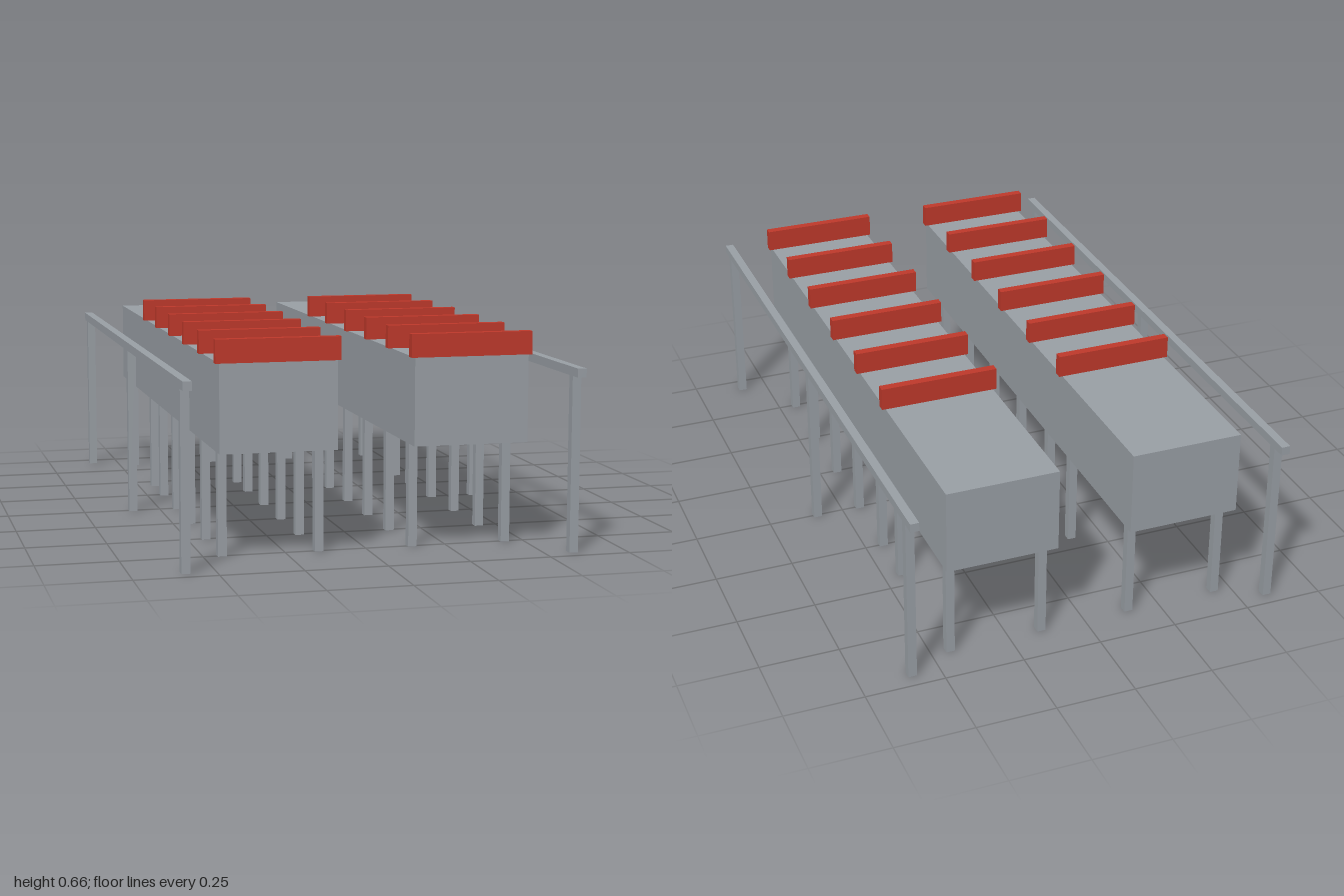
import * as THREE from 'three';

export function createModel() {
  const model = new THREE.Group();
  const grey = new THREE.MeshStandardMaterial({ color: 0x9aa0a6 });
  grey.name = 'grey';
  const red = new THREE.MeshStandardMaterial({ color: 0xc0392b });
  red.name = 'red';

  // Box sized w, h, d, standing on height y
  function box(parent, name, material, w, h, d, x, y, z) {
    const mesh = new THREE.Mesh(new THREE.BoxGeometry(w, h, d), material);
    mesh.name = name;
    mesh.position.set(x, y + h / 2, z);
    parent.add(mesh);
  }

  const bar = 0.027; // thickness of legs, posts, rails and slats
  const legRows = [0.747, 0.5, 0.252, 0.003, -0.245, -0.427, -0.868];

  // Two long beds with legs and red cross slats
  for (const [side, x] of [['left', 0.2925], ['right', -0.2955]]) {
    const bed = new THREE.Group();
    bed.name = side + 'Bed';
    bed.position.x = x;
    model.add(bed);

    box(bed, 'bedBody', grey, 0.353, 0.265, 1.8, 0, 0.325, -0.032);
    for (const z of legRows) {
      for (const s of [-1, 1]) box(bed, 'leg', grey, bar, 0.325, bar, s * 0.148, 0, z);
    }
    for (let i = 0; i < 6; i++) {
      box(bed, 'slat', red, 0.375, 0.07, bar, 0, 0.59, 0.855 - i * 0.2485);
    }
  }

  // Side rails on three posts
  for (const [side, x] of [['left', 0.588], ['right', -0.59]]) {
    const railing = new THREE.Group();
    railing.name = side + 'Railing';
    railing.position.x = x;
    model.add(railing);

    box(railing, 'rail', grey, bar, bar, 2, 0, 0.533, 0);
    for (const z of [0.945, 0.001, -0.943]) {
      box(railing, 'post', grey, bar, 0.533, bar, 0, 0, z);
    }
  }

  return model;
}
